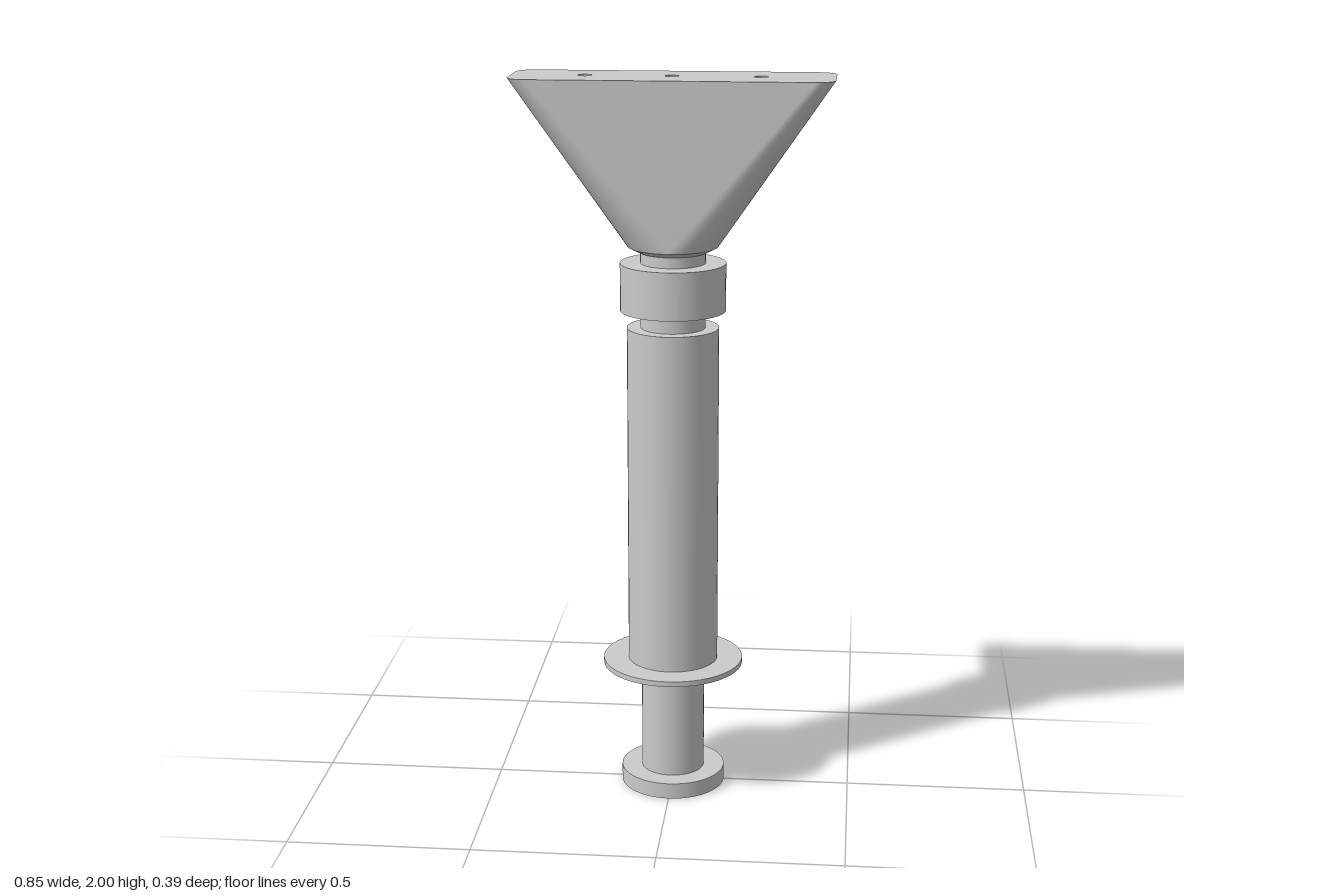
import * as THREE from 'three';

const material = new THREE.MeshStandardMaterial({ color: 0xcccccc });

function add(group, name, geometry) {
  const mesh = new THREE.Mesh(geometry, material);
  mesh.name = name;
  group.add(mesh);
  return mesh;
}

// Upright cylinder or cone between two heights
function turned(group, name, y0, y1, rBottom, rTop = rBottom) {
  const geometry = new THREE.CylinderGeometry(rTop, rBottom, y1 - y0, 48);
  add(group, name, geometry).position.y = (y0 + y1) / 2;
}

// Outline of four corner arcs; a circle when the half sizes equal the radius
function outline(halfX, halfZ, r, steps = 12) {
  const points = [];
  for (let corner = 0; corner < 4; corner++) {
    const cx = (corner === 0 || corner === 3 ? 1 : -1) * (halfX - r);
    const cz = (corner < 2 ? 1 : -1) * (halfZ - r);
    for (let i = 0; i <= steps; i++) {
      const a = (corner + i / steps) * Math.PI / 2;
      points.push(new THREE.Vector2(cx + r * Math.cos(a), cz + r * Math.sin(a)));
    }
  }
  return points;
}

// Skin from a lower outline to an upper one
function loft(lower, upper, y0, y1, layers = 10) {
  const n = lower.length, positions = [], index = [];
  for (let j = 0; j <= layers; j++) {
    const t = j / layers;
    for (let i = 0; i < n; i++) {
      const p = lower[i].clone().lerp(upper[i], t);
      positions.push(p.x, y0 + (y1 - y0) * t, p.y);
    }
  }
  for (let j = 0; j < layers; j++) {
    for (let i = 0; i < n; i++) {
      const a = j * n + i, b = j * n + (i + 1) % n;
      index.push(a, a + n, b, b, a + n, b + n);
    }
  }
  const geometry = new THREE.BufferGeometry();
  geometry.setAttribute('position', new THREE.Float32BufferAttribute(positions, 3));
  geometry.setIndex(index);
  geometry.computeVertexNormals();
  return geometry;
}

export function createModel() {
  const model = new THREE.Group();
  model.name = 'nozzleTool';

  // Plunger, barrel and collar
  turned(model, 'plungerFoot', 0, 0.045, 0.145);
  turned(model, 'plungerRod', 0.045, 0.36, 0.088);
  turned(model, 'fingerFlange', 0.36, 0.375, 0.195);
  turned(model, 'barrel', 0.375, 1.328, 0.125);
  turned(model, 'lowerNeck', 1.328, 1.375, 0.088);
  turned(model, 'collar', 1.375, 1.505, 0.143);
  turned(model, 'upperNeck', 1.505, 1.54, 0.088);

  // Flared head, round below and a rounded rectangle above
  const head = new THREE.Group();
  head.name = 'head';
  model.add(head);
  turned(head, 'headChamfer', 1.535, 1.55, 0.092, 0.122);
  const rim = outline(0.427, 0.122, 0.05);
  add(head, 'headFlare', loft(outline(0.122, 0.122, 0.122), rim, 1.55, 2));

  // Top face with three outlet holes
  const holeX = [-0.232, -0.003, 0.231], holeR = 0.019;
  const face = new THREE.Shape(rim);
  for (const x of holeX) {
    face.holes.push(new THREE.Path().absarc(x, 0, holeR, 0, Math.PI * 2, true));
  }
  add(head, 'headTop', new THREE.ShapeGeometry(face, 12).rotateX(-Math.PI / 2)).position.y = 2;

  // Rounded pits inside the holes
  const pit = [new THREE.Vector2(holeR, 0)];
  for (let i = 0; i <= 8; i++) {
    const a = i / 8 * Math.PI / 2;
    pit.push(new THREE.Vector2(holeR * Math.cos(a), -0.03 - holeR * Math.sin(a)));
  }
  for (const x of holeX) {
    add(head, 'outletHole', new THREE.LatheGeometry(pit, 24)).position.set(x, 2, 0);
  }
  return model;
}
